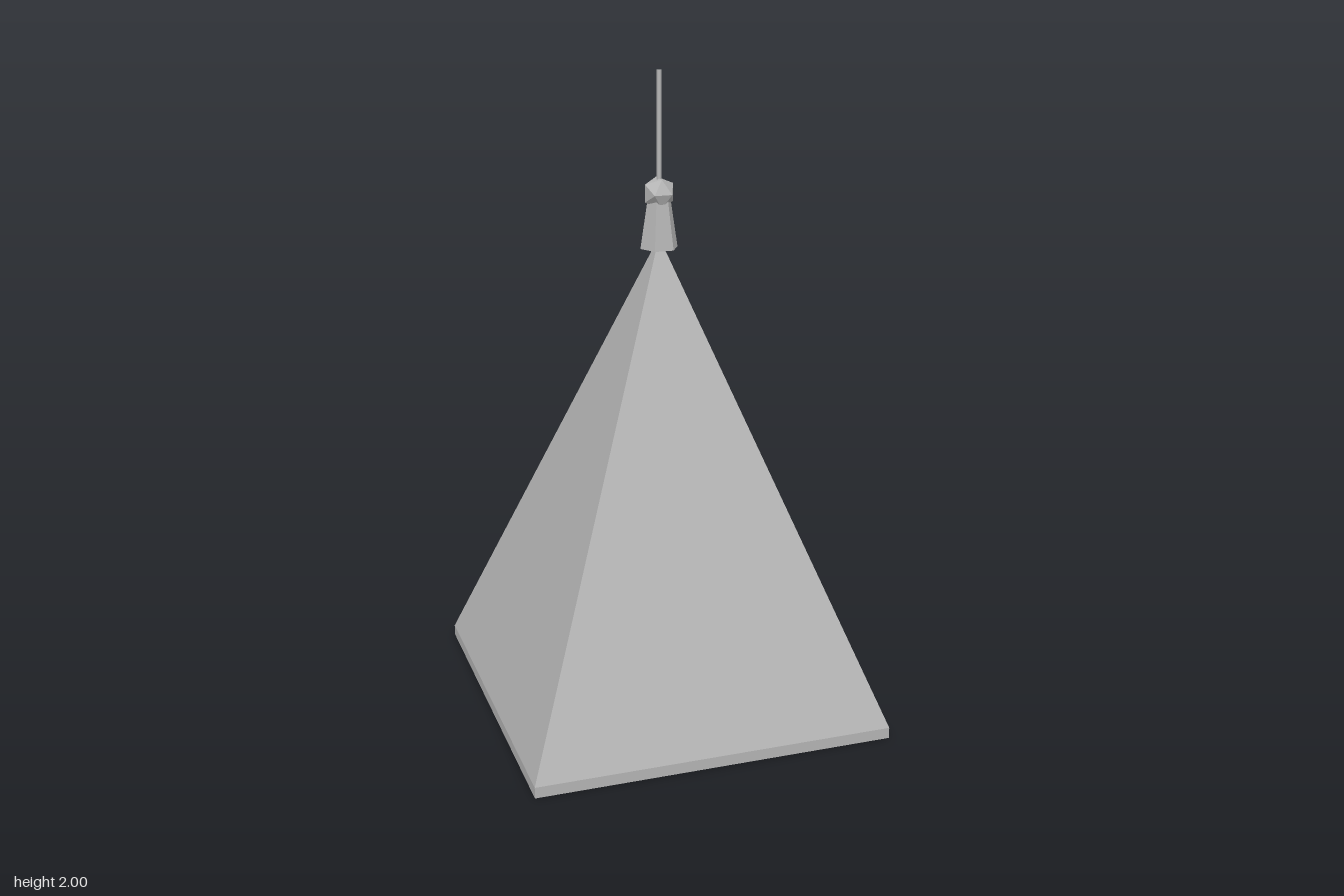
import * as THREE from 'three';

export function createModel() {
  const model = new THREE.Group();
  const grey = new THREE.MeshStandardMaterial({ color: 0xb4b4b4, flatShading: true, side: THREE.DoubleSide });
  grey.name = 'light grey';

  function add(name, geometry, y, turn = 0) {
    const mesh = new THREE.Mesh(geometry, grey);
    mesh.name = name;
    mesh.position.y = y;
    mesh.rotation.y = turn;
    model.add(mesh);
  }

  const half = 0.563, corner = half * Math.SQRT2;
  const skirtHeight = 0.035, apex = 1.5;

  // Hollow square shade, open underneath, with a short upright skirt
  add('skirt', new THREE.CylinderGeometry(corner, corner, skirtHeight, 4, 1, true), skirtHeight / 2, Math.PI / 4);
  add('pyramidShade', new THREE.ConeGeometry(corner, apex - skirtHeight, 4, 1, true), (apex + skirtHeight) / 2, Math.PI / 4);

  // Six-sided collar over the tip
  add('collar', new THREE.CylinderGeometry(0.036, 0.059, 0.15, 6), 1.542, Math.PI / 6);

  // Faceted knob and the hanging rod
  add('knob', new THREE.IcosahedronGeometry(0.052, 0), 1.635, Math.PI / 2);
  add('rod', new THREE.CylinderGeometry(0.008, 0.008, 0.37, 8), 1.815);

  return model;
}
